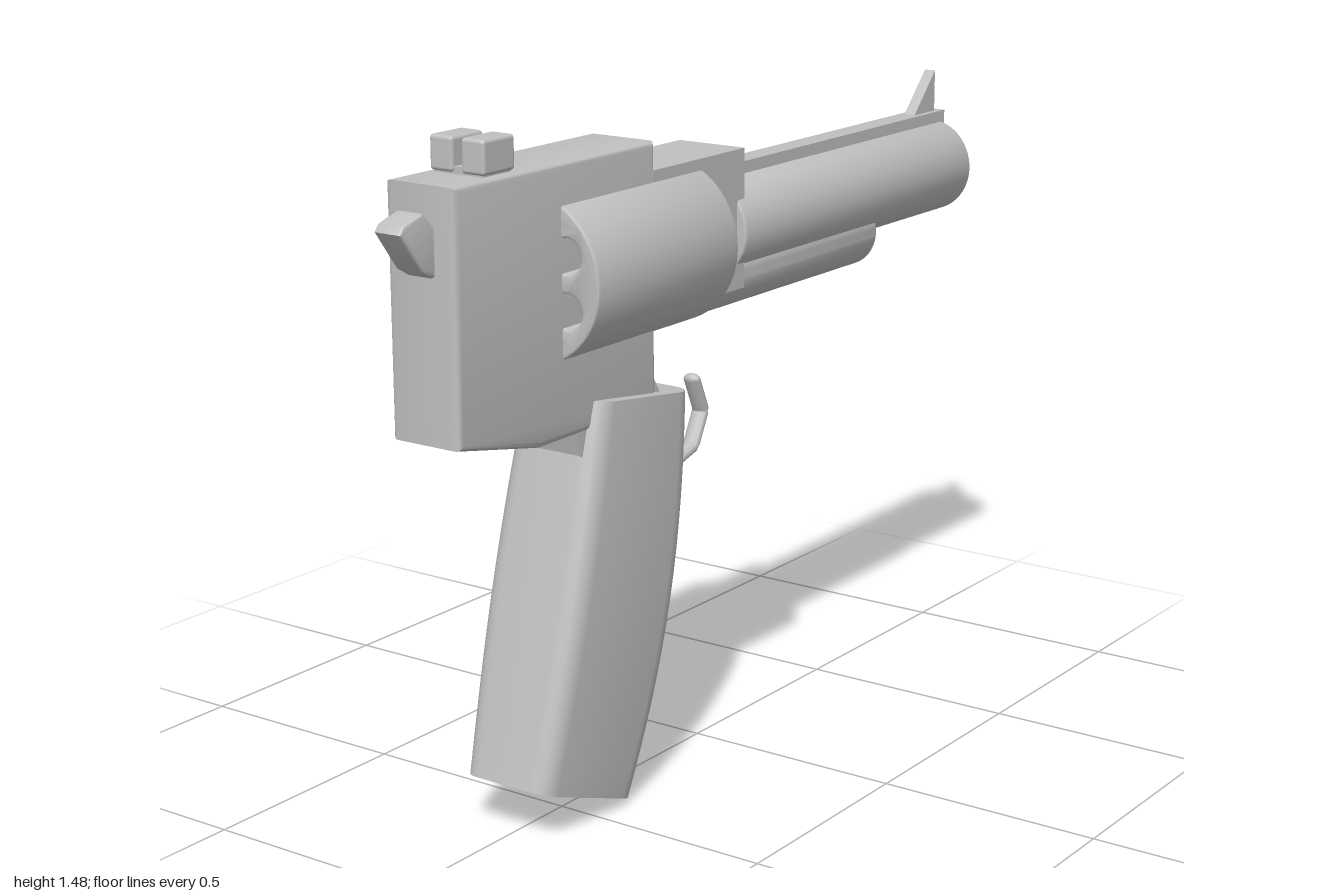
import * as THREE from 'three';
import { toCreasedNormals } from 'three/addons/utils/BufferGeometryUtils.js';
import { RoundedBoxGeometry } from 'three/addons/geometries/RoundedBoxGeometry.js';

const CORE_Y = 1.165; // height of the bore axis

export function createModel() {
  const group = new THREE.Group();
  const grey = new THREE.MeshStandardMaterial({ color: 0xc0c0c0 });
  grey.name = 'grey';

  const add = (name, geometry, x = 0, y = 0, z = 0) => {
    const mesh = new THREE.Mesh(geometry, grey);
    mesh.name = name;
    mesh.position.set(x, y, z);
    group.add(mesh);
    return mesh;
  };

  // Extrude a shape to an exact depth, centred, with an inset bevel
  const extrude = (shape, depth, bevel, curveSegments = 24) => {
    const g = new THREE.ExtrudeGeometry(shape, {
      depth: depth - 2 * bevel, bevelEnabled: bevel > 0, bevelThickness: bevel,
      bevelSize: bevel, bevelOffset: -bevel, bevelSegments: 3, curveSegments,
    });
    g.translate(0, 0, bevel - depth / 2);
    return toCreasedNormals(g, 0.6);
  };

  // Side profile given as [z, y] points, extruded across x
  const side = (points, width, bevel = 0) => {
    const shape = new THREE.Shape(points.map(([z, y]) => new THREE.Vector2(z, y)));
    return extrude(shape, width, bevel).rotateY(-Math.PI / 2);
  };

  // Box between two z and two y limits
  const box = (name, width, y0, y1, z0, z1) =>
    add(name, new THREE.BoxGeometry(width, y1 - y0, z1 - z0), 0, (y0 + y1) / 2, (z0 + z1) / 2);

  // Rod lying along z, with a softened rim
  const rod = (name, r, y, z0, z1) => {
    const shape = new THREE.Shape().absarc(0, 0, r, 0, Math.PI * 2);
    add(name, extrude(shape, z1 - z0, 0.006, 32), 0, y, (z0 + z1) / 2);
  };

  // Main body
  add('frame', side([[0.27, 0.845], [0.66, 0.845], [0.905, 0.895], [0.905, 1.405], [0.27, 1.405]], 0.17, 0.012));
  box('frontBlock', 0.17, 1.04, 1.345, -0.055, 0.28);
  add('neck', side([[0.54, 0.87], [0.515, 0.78], [0.2, 0.74], [0.185, 0.82], [0.25, 0.87], [0.28, 0.92], [0.4, 0.92]], 0.16));

  // Drum with six open chambers
  const disc = new THREE.Shape().absarc(0, 0, 0.177, 0, Math.PI * 2);
  for (let i = 0; i < 6; i++) {
    const a = Math.PI / 6 + i * Math.PI / 3;
    disc.holes.push(new THREE.Path().absarc(0.111 * Math.cos(a), 0.111 * Math.sin(a), 0.037, 0, Math.PI * 2, true));
  }
  add('drum', extrude(disc, 0.483, 0.005, 32), 0, CORE_Y, 0.3425);

  // Barrel, under-rod and top rib
  rod('barrel', 0.11, CORE_Y, -0.99, -0.027);
  rod('underRod', 0.085, 1.07, -0.603, 0.102);
  box('topRib', 0.056, 1.262, 1.298, -1, -0.05);

  // Sights
  add('frontSight', side([[-0.88, 1.295], [-0.975, 1.295], [-0.975, 1.395]], 0.028));
  box('rearSightBase', 0.12, 1.395, 1.42, 0.705, 0.79);
  for (const s of [-1, 1]) {
    add('rearSightPost', new RoundedBoxGeometry(0.057, 0.07, 0.096, 3, 0.008), s * 0.039, 1.443, 0.748);
  }

  // Hammer
  add('hammer', side([[0.88, 1.23], [0.91, 1.228], [0.94, 1.245], [1, 1.325], [0.988, 1.34], [0.935, 1.356], [0.9, 1.325], [0.88, 1.325]], 0.066, 0.006));

  // Curved trigger hook
  const hook = new THREE.CurvePath();
  const hookPoints = [[0.22, 0.664], [0.1, 0.667], [0.025, 0.688], [-0.013, 0.763], [0.02, 0.838]]
    .map(([z, y]) => new THREE.Vector3(0, y, z));
  for (let i = 1; i < hookPoints.length; i++) hook.add(new THREE.LineCurve3(hookPoints[i - 1], hookPoints[i]));
  add('triggerHook', new THREE.TubeGeometry(hook, 28, 0.013, 10)).scale.x = 1.6;
  const tip = add('triggerTip', new THREE.SphereGeometry(0.013, 12, 8), 0, 0.838, 0.02);
  tip.scale.x = 1.6;

  // Small rounded stub above the grip
  add('stub', new RoundedBoxGeometry(0.05, 0.06, 0.05, 3, 0.015), 0, 0.89, 0.25);

  add('grip', makeGrip());
  return group;
}

// Grip: rounded cross-sections lofted between a straight rear and a curved front edge
function makeGrip() {
  const rear = new THREE.LineCurve(new THREE.Vector2(0.49, 0.905), new THREE.Vector2(0.695, 0.12));
  const front = new THREE.QuadraticBezierCurve(
    new THREE.Vector2(0.16, 0.86), new THREE.Vector2(0.2, 0.4), new THREE.Vector2(0.375, 0.003));
  const rows = 16, arc = 6, ring = arc * 4;
  const pos = [], index = [];
  for (let i = 0; i <= rows; i++) {
    const t = i / rows;
    const r = rear.getPoint(t), f = front.getPoint(t);
    const length = r.distanceTo(f);
    const w = 0.11 + 0.012 * Math.sin(Math.PI * t);
    for (let c = 0; c < 4; c++) {
      const radius = c < 2 ? 0.06 : 0.045; // front corners are rounder
      const cx = (c === 0 || c === 3 ? 1 : -1) * (w - radius);
      const cs = c < 2 ? length - radius : radius;
      for (let k = 0; k < arc; k++) {
        const a = (c + k / (arc - 1)) * Math.PI / 2;
        const p = r.clone().lerp(f, (cs + radius * Math.sin(a)) / length);
        pos.push(cx + radius * Math.cos(a), p.y, p.x);
      }
    }
  }
  for (let i = 0; i < rows; i++) {
    for (let j = 0; j < ring; j++) {
      const a = i * ring + j, b = i * ring + (j + 1) % ring;
      index.push(a, a + ring, b, b, a + ring, b + ring);
    }
  }
  // End caps
  const last = rows * ring;
  for (let j = 1; j < ring - 1; j++) {
    index.push(0, j, j + 1, last, last + j + 1, last + j);
  }
  const g = new THREE.BufferGeometry();
  g.setAttribute('position', new THREE.Float32BufferAttribute(pos, 3));
  g.setIndex(index);
  return toCreasedNormals(g, 0.7);
}
